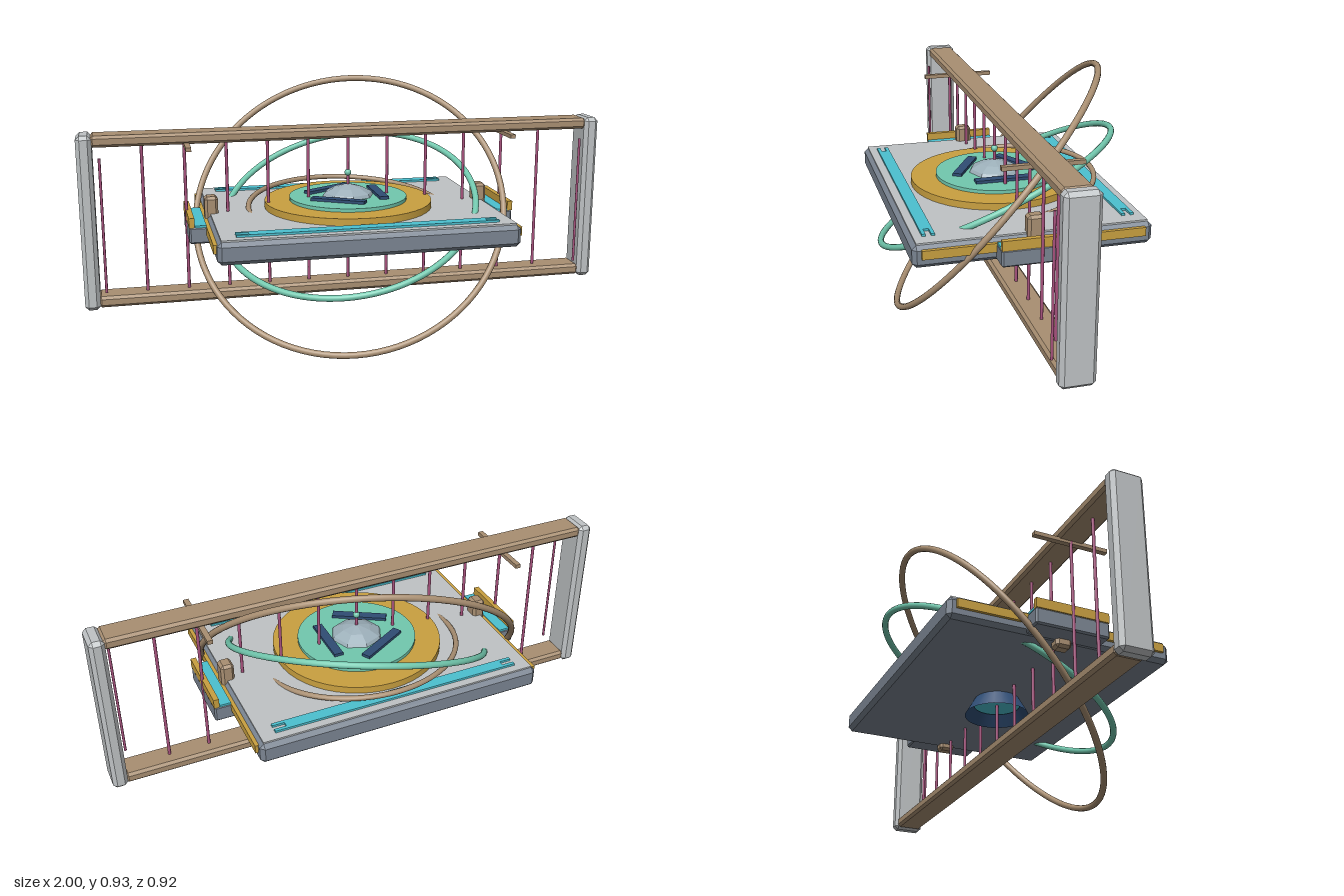
import * as THREE from 'three';
import { ConvexGeometry } from 'three/addons/geometries/ConvexGeometry.js';

const mat = (name, color, opts = {}) => {
  const m = new THREE.MeshStandardMaterial({ color, ...opts });
  m.name = name;
  return m;
};

// Box with 45 degree chamfers on every edge
function chamferBox(w, h, d, c) {
  const pts = [];
  for (const x of [-1, 1]) for (const y of [-1, 1]) for (const z of [-1, 1]) {
    for (let k = 0; k < 3; k++) {
      pts.push(new THREE.Vector3(
        x * (w / 2 - (k === 0 ? 0 : c)),
        y * (h / 2 - (k === 1 ? 0 : c)),
        z * (d / 2 - (k === 2 ? 0 : c))));
    }
  }
  return new ConvexGeometry(pts);
}

export function createModel() {
  const model = new THREE.Group();
  model.name = 'ringedPlatform';

  const silver = mat('silver', 0xbfc3c5);
  const slate = mat('slate', 0x7b8592);
  const tan = mat('tan', 0xa98f72);
  const plum = mat('plum', 0xa8527e);
  const gold = mat('gold', 0xc9a040);
  const teal = mat('teal', 0x72c8ae);
  const cyan = mat('cyan', 0x4cc0d0);
  const navy = mat('navy', 0x2f4d74, { side: THREE.DoubleSide });
  const paleBlue = mat('paleBlue', 0x9cafb9);

  const add = (name, geo, material, x = 0, y = 0, z = 0) => {
    const mesh = new THREE.Mesh(geo, material);
    mesh.name = name;
    mesh.position.set(x, y, z);
    model.add(mesh);
    return mesh;
  };
  const box = (w, h, d) => new THREE.BoxGeometry(w, h, d);
  const cyl = (rt, rb, h, n = 48, open = false) => new THREE.CylinderGeometry(rt, rb, h, n, 1, open);

  // Upright frame: two rails and two end posts
  add('topRail', chamferBox(1.9, 0.042, 0.105, 0.01), tan, 0, 0.777, 0);
  add('bottomRail', chamferBox(1.9, 0.042, 0.105, 0.01), tan, 0, 0.178, 0);
  for (const s of [-1, 1]) {
    add('endPost', chamferBox(0.056, 0.65, 0.122, 0.014), silver, s * 0.972, 0.475, 0);
    add('endRod', cyl(0.005, 0.005, 0.5, 8), plum, s * 0.92, 0.47, 0.063);
  }

  // Row of vertical rods
  for (let i = -5; i <= 5; i++) {
    add('rod', cyl(0.006, 0.006, 0.57, 8), plum, i * 0.154, 0.477, 0);
  }

  // Platform
  add('hull', chamferBox(1.09, 0.08, 0.85, 0.015), slate, 0, 0.441, 0);
  add('deck', box(1.06, 0.018, 0.82), silver, 0, 0.478, 0);

  // Light strips: two long bars with a shorter one between
  for (const s of [-1, 1]) {
    for (const [dz, len, w] of [[-0.016, 0.95, 0.013], [0, 0.86, 0.02], [0.016, 0.95, 0.013]]) {
      add('lightStrip', box(len, 0.009, w), cyan, 0, 0.4905, s * 0.357 + dz);
    }
  }

  // Side fittings
  for (const s of [-1, 1]) {
    add('sideTrim', box(0.03, 0.032, 0.79), gold, s * 0.541, 0.453, 0);
    add('sideBracket', chamferBox(0.1, 0.062, 0.28, 0.006), slate, s * 0.567, 0.436, 0);
    add('bracketTrim', box(0.02, 0.036, 0.278), gold, s * 0.608, 0.483, 0);
    add('bracketLight', box(0.042, 0.008, 0.278), cyan, s * 0.576, 0.469, 0);
    add('clampBlock', chamferBox(0.05, 0.175, 0.06, 0.01), tan, s * 0.525, 0.463, 0);
    add('crossBar', box(0.02, 0.015, 0.286), tan, s * 0.61, 0.753, 0);
  }

  // Turntable with three tangential bars
  add('lowerDisc', cyl(0.32, 0.32, 0.028), gold, 0, 0.499, 0);
  add('upperDisc', cyl(0.225, 0.225, 0.014), teal, 0, 0.519, 0);
  for (let i = 0; i < 3; i++) {
    const a = i * Math.PI * 2 / 3;
    const bar = add('discBar', box(0.035, 0.012, 0.21), navy,
      Math.cos(a) * 0.118, 0.531, Math.sin(a) * 0.118);
    bar.rotation.y = -a;
  }

  // Faceted dome and antenna
  const dome = new THREE.LatheGeometry(
    [[0.1, 0.524], [0.092, 0.538], [0.055, 0.557], [0, 0.572]].map(p => new THREE.Vector2(...p)), 8);
  paleBlue.flatShading = true;
  add('dome', dome, paleBlue);
  add('antenna', cyl(0.004, 0.004, 0.05, 8), teal, 0, 0.59, 0);
  add('antennaTip', new THREE.SphereGeometry(0.013, 16, 10), teal, 0, 0.615, 0);

  // Nozzle under the platform
  add('nozzle', cyl(0.085, 0.122, 0.065, 24, true), navy, 0, 0.37, 0);
  add('nozzleGlow', cyl(0.088, 0.088, 0.01, 24), cyan, 0, 0.384, 0);

  // Tilted rings, each given by its axis
  const ring = (name, r, tube, material, axis) => {
    const mesh = add(name, new THREE.TorusGeometry(r, tube, 12, 96), material, 0, 0.475, 0);
    mesh.quaternion.setFromUnitVectors(new THREE.Vector3(0, 0, 1), new THREE.Vector3(...axis).normalize());
  };
  ring('outerRing', 0.594, 0.012, tan, [-0.25, 0.643, 0.724]);
  ring('middleRing', 0.49, 0.012, teal, [-0.22, 0.89, 0.395]);
  ring('innerRing', 0.382, 0.01, tan, [0.02, 1, 0.115]);

  return model;
}
